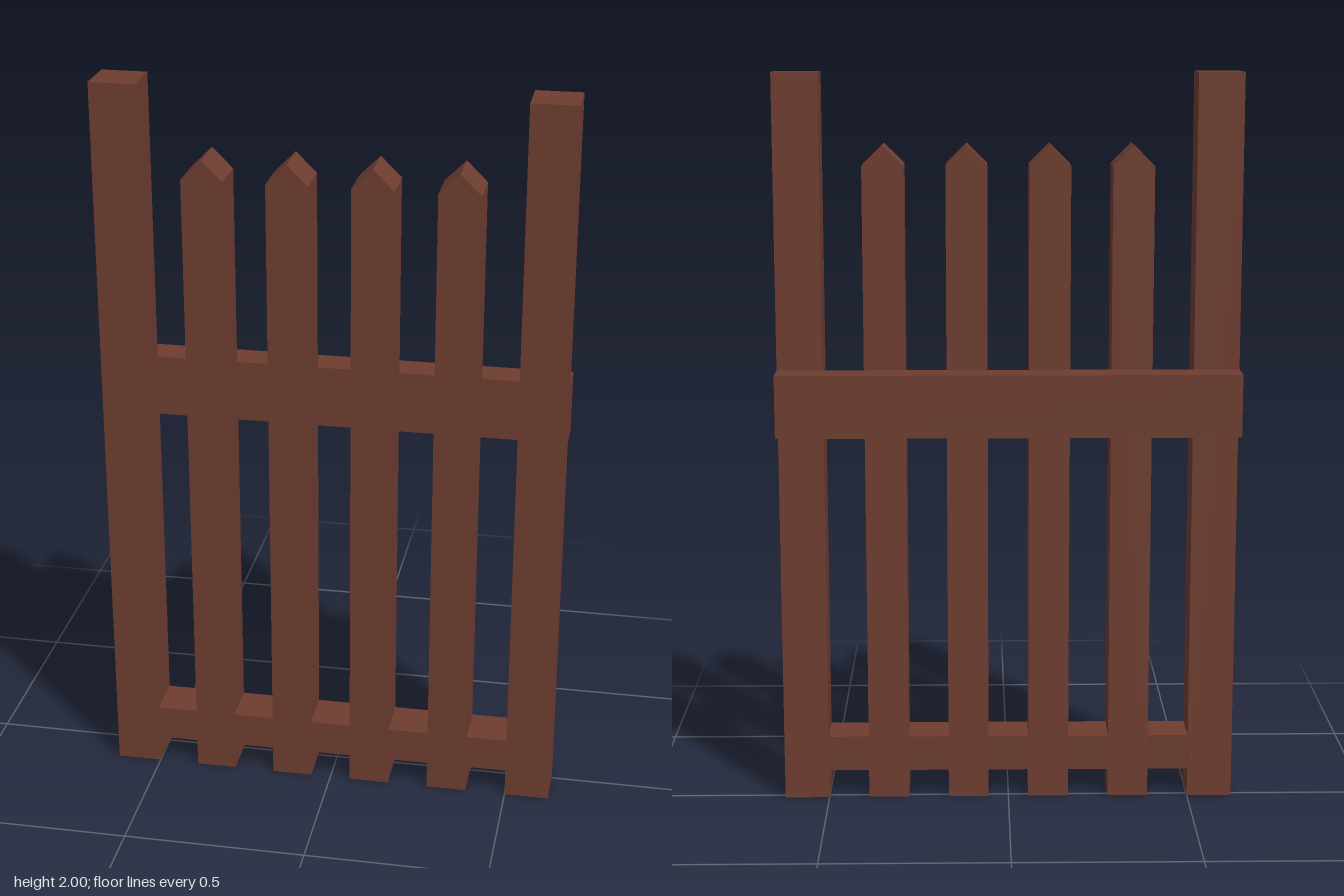
import * as THREE from 'three';

export function createModel() {
  const gate = new THREE.Group();
  gate.name = 'fenceGate';
  const wood = new THREE.MeshStandardMaterial({ color: 0x6e3d30, flatShading: true });

  const add = (name, geometry, x, y, z) => {
    const mesh = new THREE.Mesh(geometry, wood);
    mesh.name = name;
    mesh.position.set(x, y, z);
    gate.add(mesh);
  };

  const front = 0.108, postBack = -0.018, picketBack = -0.015;
  const slot = 1 / 9; // pickets and gaps share one width between the posts
  const depth = front - picketBack;

  // Square corner posts
  for (const side of [-1, 1]) {
    const name = side > 0 ? 'leftPost' : 'rightPost';
    add(name, new THREE.BoxGeometry(0.123, 2, front - postBack), side * 0.5615, 1, (front + postBack) / 2);
  }

  // Pointed pickets
  const outline = new THREE.Shape();
  outline.moveTo(-slot / 2, 0);
  outline.lineTo(slot / 2, 0);
  outline.lineTo(slot / 2, 1.755);
  outline.lineTo(0, 1.81);
  outline.lineTo(-slot / 2, 1.755);
  outline.closePath();
  const picket = new THREE.ExtrudeGeometry(outline, { depth, bevelEnabled: false });
  for (let i = 0; i < 4; i++) add('picket', picket, (i - 1.5) * 2 * slot, 0, picketBack);

  // Lower rail, flush with the pickets and fitted between them
  const block = new THREE.BoxGeometry(slot, 0.098, depth);
  for (let i = 0; i < 5; i++) add('lowerRail', block, (i - 2) * 2 * slot, 0.127, (front + picketBack) / 2);

  // Upper rail across the back of the posts
  add('upperRail', new THREE.BoxGeometry(1.246, 0.17, 0.09), 0, 1.125, postBack - 0.045);

  return gate;
}
